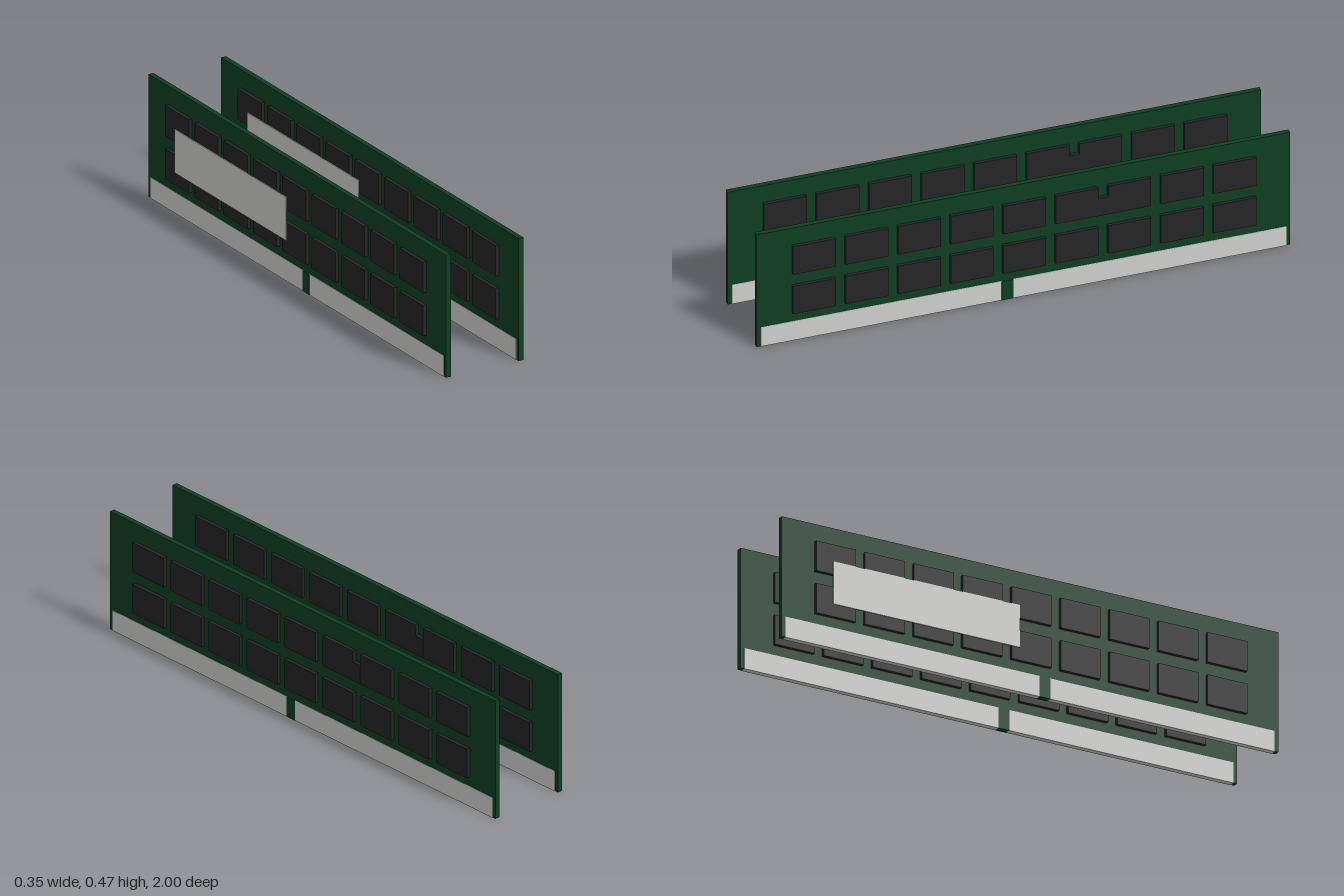
import * as THREE from 'three';

const mat = (name, color) => {
  const m = new THREE.MeshStandardMaterial({ color });
  m.name = name;
  return m;
};

export function createModel() {
  const green = mat('boardGreen', 0x0e3f23);
  const black = mat('chipBlack', 0x262626);
  const silver = mat('contactSilver', 0xd2d2cf);

  // Box given by its low and high corners
  const box = (parent, name, material, x0, x1, y0, y1, z0, z1) => {
    const mesh = new THREE.Mesh(new THREE.BoxGeometry(x1 - x0, y1 - y0, z1 - z0), material);
    mesh.position.set((x0 + x1) / 2, (y0 + y1) / 2, (z0 + z1) / 2);
    mesh.name = name;
    parent.add(mesh);
  };

  const createModule = () => {
    const g = new THREE.Group();
    g.name = 'memoryModule';
    box(g, 'circuitBoard', green, -0.01, 0.01, 0.001, 0.467, -1, 1);

    // Edge contacts on either side of the key
    box(g, 'rearContacts', silver, -0.011, 0.011, 0, 0.08, -0.985, 0.04);
    box(g, 'frontContacts', silver, -0.011, 0.011, 0, 0.08, 0.08, 0.985);
    box(g, 'contactKey', green, -0.0118, 0.0118, 0, 0.077, 0.038, 0.082);

    // Two rows of nine chips on both faces
    for (const side of [-1, 1]) {
      const x0 = side < 0 ? -0.0235 : 0.009;
      const x1 = side < 0 ? -0.009 : 0.0235;
      for (const [y0, y1] of [[0.117, 0.232], [0.281, 0.397]]) {
        for (let i = -4; i <= 4; i++) {
          const z = i * 0.197;
          box(g, 'memoryChip', black, x0, x1, y0, y1, z - 0.08, z + 0.08);
        }
      }
    }

    // Small controller between two upper chips
    box(g, 'controllerChip', black, 0.009, 0.0242, 0.281, 0.355, -0.314, -0.27);

    // Label lying over the chips
    box(g, 'label', silver, -0.027, -0.0237, 0.165, 0.33, -0.8, -0.05);
    return g;
  };

  const model = new THREE.Group();
  model.name = 'memoryModulePair';
  for (const x of [-0.15, 0.15]) {
    const m = createModule();
    m.position.x = x;
    model.add(m);
  }
  return model;
}
